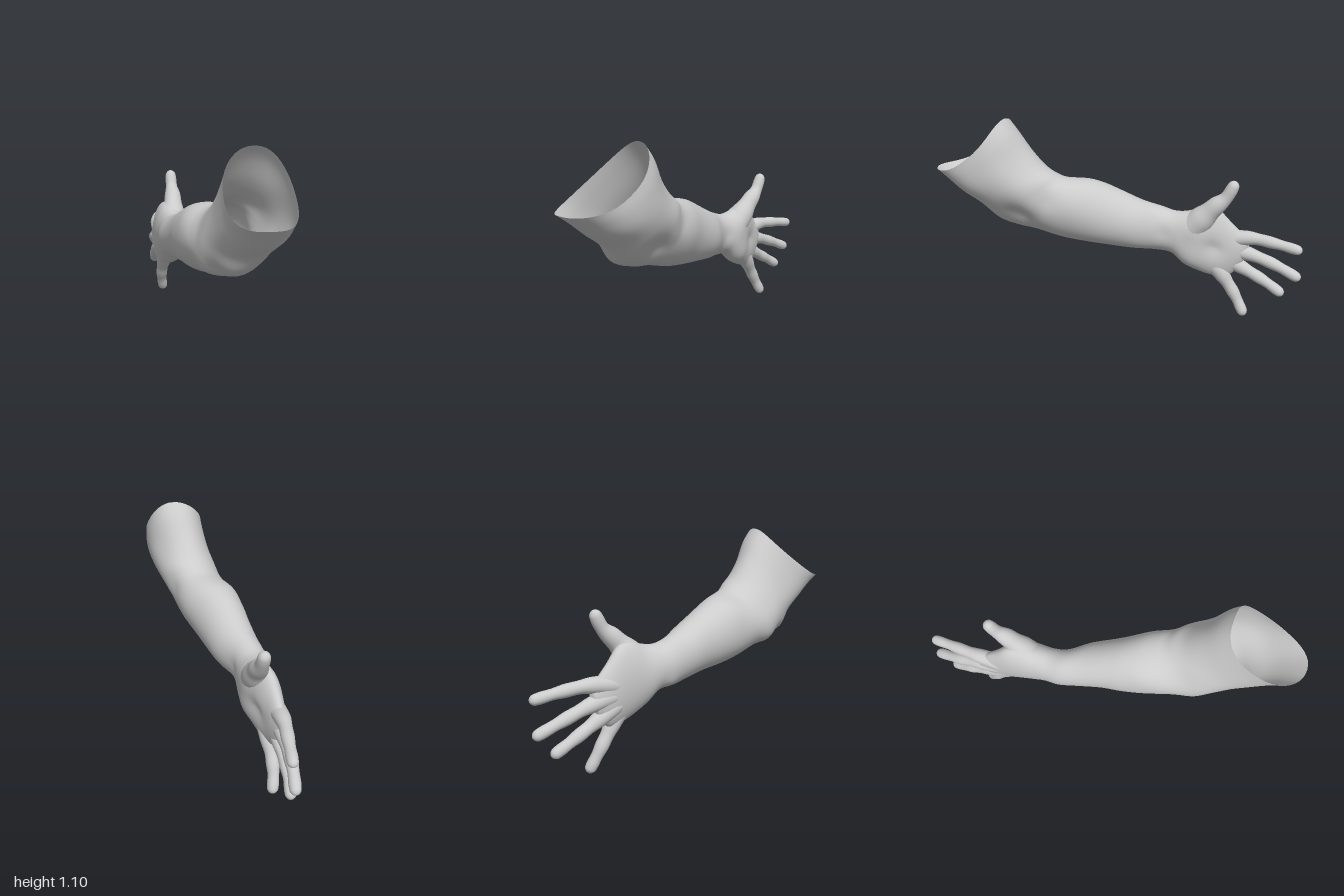
import * as THREE from 'three';

const material = new THREE.MeshStandardMaterial({ color: 0xcccccc, side: THREE.DoubleSide });
const SIDES = 48;

// Smooth skin over a list of closed rings
function skin(name, rings) {
  const n = rings[0].length, positions = [], index = [];
  rings.forEach(ring => ring.forEach(p => positions.push(p.x, p.y, p.z)));
  for (let i = 0; i < rings.length - 1; i++) {
    for (let j = 0; j < n; j++) {
      const k = (j + 1) % n, a = i * n + j, b = i * n + k;
      index.push(a, a + n, b, b, a + n, b + n);
    }
  }
  const geometry = new THREE.BufferGeometry();
  geometry.setAttribute('position', new THREE.Float32BufferAttribute(positions, 3));
  geometry.setIndex(index);
  geometry.computeVertexNormals();
  const mesh = new THREE.Mesh(geometry, material);
  mesh.name = name;
  return mesh;
}

// Smooth interpolation through a table of rows, t from 0 to 1
function sampleRows(rows, t) {
  const f = t * (rows.length - 1), i = Math.min(Math.floor(f), rows.length - 2), u = f - i;
  const row = k => rows[Math.max(0, Math.min(rows.length - 1, k))];
  return rows[0].map((_, c) => {
    const [p, q, r, s] = [row(i - 1)[c], row(i)[c], row(i + 1)[c], row(i + 2)[c]];
    return q + 0.5 * u * (r - p + u * (2 * p - 5 * q + 4 * r - s + u * (3 * (q - r) + s - p)));
  });
}

// Arm and palm sections: top z, top y, bottom z, bottom y, centre x, half width, side sag
const armRows = [
  [0.56, 1.10, 1.00, 0.80, 0.157, 0.165, 0.068],
  [0.50, 1.03, 0.93, 0.75, 0.152, 0.17, 0.048],
  [0.42, 0.92, 0.84, 0.68, 0.135, 0.175, 0.025],
  [0.36, 0.84, 0.74, 0.61, 0.11, 0.178, 0.01],
  [0.31, 0.80, 0.64, 0.51, 0.083, 0.178, 0],
  [0.27, 0.775, 0.54, 0.468, 0.05, 0.178, 0],
  [0.22, 0.765, 0.43, 0.45, 0.015, 0.172, 0],
  [0.15, 0.755, 0.28, 0.41, -0.025, 0.165, 0],
  [0.08, 0.735, 0.15, 0.39, -0.06, 0.153, 0],
  [0.00, 0.70, 0.02, 0.378, -0.09, 0.138, 0],
  [-0.12, 0.645, -0.10, 0.365, -0.13, 0.125, 0],
  [-0.22, 0.61, -0.21, 0.355, -0.178, 0.102, 0],
  [-0.30, 0.59, -0.30, 0.345, -0.19, 0.093, 0],
  [-0.38, 0.60, -0.37, 0.29, -0.198, 0.09, 0],
  [-0.46, 0.63, -0.45, 0.25, -0.215, 0.085, 0],
  [-0.53, 0.62, -0.53, 0.225, -0.238, 0.073, 0],
  [-0.60, 0.55, -0.595, 0.22, -0.262, 0.056, 0],
  [-0.66, 0.49, -0.645, 0.26, -0.277, 0.044, 0],
  [-0.70, 0.45, -0.675, 0.30, -0.287, 0.03, 0],
  [-0.71, 0.39, -0.695, 0.37, -0.287, 0.002, 0],
];

// Muscle and bone relief: x, y, z, radius, height
const relief = [
  [0.05, 0.55, 0.65, 0.07, 0.018],     // elbow point
  [-0.07, 0.50, 0.50, 0.07, 0.014],    // outer elbow
  [-0.09, 0.62, 0.53, 0.08, 0.012],    // outer upper arm
  [-0.01, 0.53, 0.59, 0.035, -0.015],  // groove beside the elbow
  [0.22, 0.56, 0.50, 0.11, -0.05],     // hollow under the inner elbow
  [0.27, 0.76, 0.72, 0.10, 0.01],      // inner upper arm
  [0.23, 0.89, 0.44, 0.13, -0.026],    // flat of the upper arm above the crease
  [0.17, 0.68, 0.32, 0.06, -0.012],    // elbow crease
  [0.12, 0.62, 0.17, 0.10, 0.008],     // flexor muscle
  [-0.13, 0.70, 0.22, 0.09, 0.015],    // outer forearm muscle
  [-0.10, 0.48, -0.27, 0.05, -0.01],   // wrist hollow
  [-0.12, 0.53, -0.42, 0.06, 0.012],   // thumb pad
  [-0.13, 0.33, -0.42, 0.06, 0.012],   // heel of the hand
  [-0.17, 0.40, -0.53, 0.06, -0.022],  // hollow of the palm
  [-0.28, 0.38, -0.24, 0.035, 0.01],   // wrist bone
];

function armRing(t) {
  const [tz, ty, bz, by, cx, hw, sag] = sampleRows(armRows, t);
  const centre = new THREE.Vector3(cx, (ty + by) / 2, (tz + bz) / 2);
  const up = new THREE.Vector3(0, (ty - by) / 2, (tz - bz) / 2);
  const along = new THREE.Vector3(0, up.z, -up.y).normalize();
  // the upper arm is squarer than an ellipse
  const power = 1 - 0.14 * Math.max(0, 1 - 4 * t);
  const squared = v => Math.sign(v) * Math.abs(v) ** power;
  return Array.from({ length: SIDES }, (_, j) => {
    const a = j / SIDES * Math.PI * 2, c = squared(Math.cos(a));
    const offset = up.clone().multiplyScalar(squared(Math.sin(a)));
    offset.x += c * hw;
    // the inner side of the rim dips lower than the outer side
    const p = centre.clone().add(offset).addScaledVector(along, sag * c * c * (1 + 0.25 * c));
    const out = offset.normalize();
    let height = 0;
    for (const [x, y, z, r, h] of relief) {
      const d = (p.x - x) ** 2 + (p.y - y) ** 2 + (p.z - z) ** 2;
      height += h * Math.exp(-d / (r * r));
    }
    return p.addScaledVector(out, height);
  });
}

// Finger sections: x, y, z, radius; each starts inside the palm and ends in a rounded tip
const fingers = {
  thumb: [[-0.20, 0.44, -0.34, 0.07], [-0.19, 0.55, -0.445, 0.078],
    [-0.185, 0.645, -0.53, 0.058], [-0.19, 0.705, -0.59, 0.039], [-0.195, 0.80, -0.638, 0.028]],
  indexFinger: [[-0.255, 0.42, -0.50, 0.045], [-0.275, 0.445, -0.61, 0.046],
    [-0.285, 0.46, -0.72, 0.035], [-0.282, 0.45, -0.86, 0.03], [-0.278, 0.43, -1.0, 0.026]],
  middleFinger: [[-0.255, 0.39, -0.50, 0.04], [-0.278, 0.38, -0.61, 0.045],
    [-0.294, 0.36, -0.72, 0.035], [-0.305, 0.315, -0.86, 0.031], [-0.30, 0.258, -1.0, 0.027]],
  ringFinger: [[-0.25, 0.36, -0.50, 0.04], [-0.275, 0.315, -0.60, 0.045],
    [-0.292, 0.265, -0.70, 0.035], [-0.303, 0.205, -0.815, 0.031], [-0.30, 0.148, -0.915, 0.027]],
  littleFinger: [[-0.225, 0.35, -0.46, 0.045], [-0.24, 0.265, -0.55, 0.048],
    [-0.255, 0.18, -0.61, 0.037], [-0.26, 0.10, -0.66, 0.032], [-0.25, 0.001, -0.715, 0.027]],
};

function finger(name, rows) {
  const steps = 44, sides = 20;
  const curve = new THREE.CatmullRomCurve3(rows.map(([x, y, z]) => new THREE.Vector3(x, y, z)));
  const frames = curve.computeFrenetFrames(steps, false);
  const length = curve.getLength(), tip = rows[rows.length - 1][3];
  const rings = [];
  for (let i = 0; i <= steps; i++) {
    // rings crowd together toward the tip
    const t = Math.sin(i / steps * Math.PI / 2), k = Math.round(t * steps);
    const left = Math.min(1, (1 - t) * length / tip);
    const joints = 1 + 0.07 * Math.cos((t - 0.65) * Math.PI * 8) * t;
    const r = sampleRows(rows, t)[3] * joints * Math.sqrt(Math.max(0, 1 - (1 - left) ** 2));
    const p = curve.getPointAt(t);
    rings.push(Array.from({ length: sides }, (_, j) => {
      const a = j / sides * Math.PI * 2;
      return p.clone().addScaledVector(frames.normals[k], r * Math.cos(a))
        .addScaledVector(frames.binormals[k], -r * Math.sin(a));
    }));
  }
  return skin(name, rings);
}

export function createModel() {
  const model = new THREE.Group();
  model.name = 'arm';
  // Open sleeve of skin from the upper arm down to the palm
  const steps = 120;
  model.add(skin('armAndPalm', Array.from({ length: steps + 1 }, (_, i) => armRing(i / steps))));
  for (const [name, rows] of Object.entries(fingers)) model.add(finger(name, rows));
  return model;
}
